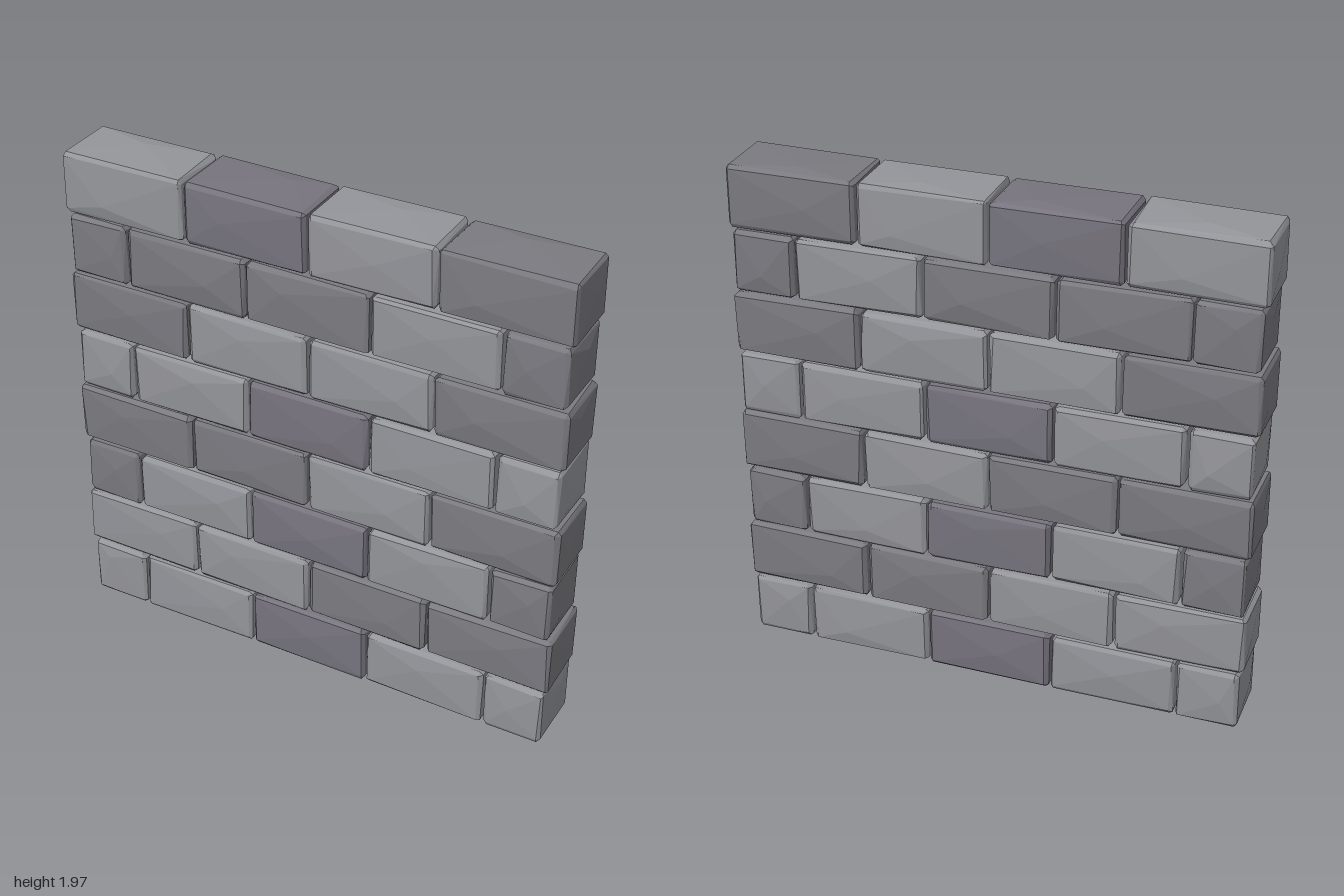
import * as THREE from 'three';
import { ConvexGeometry } from 'three/addons/geometries/ConvexGeometry.js';

// Seeded random so that every stone is chipped a little differently
let seed = 7;
function rand(min, max) {
  seed = (seed * 16807) % 2147483647;
  return min + (max - min) * (seed / 2147483647);
}

// One rough-hewn stone: uneven chamfered corners and a shallow peak on each face
function stoneGeometry(width, height, depth) {
  const half = [width / 2, height / 2, depth / 2];
  const points = [];
  for (const sx of [-1, 1]) for (const sy of [-1, 1]) for (const sz of [-1, 1]) {
    const sign = [sx, sy, sz];
    for (let axis = 0; axis < 3; axis++) {
      const p = half.map((h, i) => sign[i] * (i === axis ? h - rand(0, 0.004) : h - rand(0.009, 0.02)));
      points.push(new THREE.Vector3(...p));
    }
  }
  for (let axis = 0; axis < 3; axis++) for (const side of [-1, 1]) {
    const p = half.map((h, i) => (i === axis ? side * (h + rand(0.004, 0.009)) : h * rand(-0.5, 0.5)));
    points.push(new THREE.Vector3(...p));
  }
  return new ConvexGeometry(points);
}

export function createModel() {
  const wall = new THREE.Group();
  wall.name = 'stoneWall';

  const stone = (color) => new THREE.MeshStandardMaterial({ color, flatShading: true });
  const materials = { L: stone(0x94959a), M: stone(0x7b7a80), D: stone(0x77747e) };

  // Courses from the bottom up, shades listed from -x to +x
  const courses = ['LLDLL', 'LLMM', 'MLDLM', 'MMLM', 'LLDLL', 'MLLM', 'MMMLM', 'LDLM'];
  const pitch = 0.245, depth = 0.26, gap = 0.006;

  courses.forEach((shades, row) => {
    const course = new THREE.Group();
    course.name = `course${row + 1}`;
    const staggered = shades.length === 5;
    const edges = staggered
      ? [-0.978, -0.735, -0.245, 0.245, 0.735, 0.978]
      : [-0.991, -0.491, 0, 0.491, 0.991];
    [...shades].forEach((shade, i) => {
      const width = edges[i + 1] - edges[i] - gap;
      const mesh = new THREE.Mesh(stoneGeometry(width, pitch - gap, depth), materials[shade]);
      mesh.name = staggered && (i === 0 || i === 4) ? 'halfStone' : 'stone';
      mesh.position.set((edges[i] + edges[i + 1]) / 2, 0.011 + pitch * (row + 0.5), 0);
      course.add(mesh);
    });
    wall.add(course);
  });
  return wall;
}
